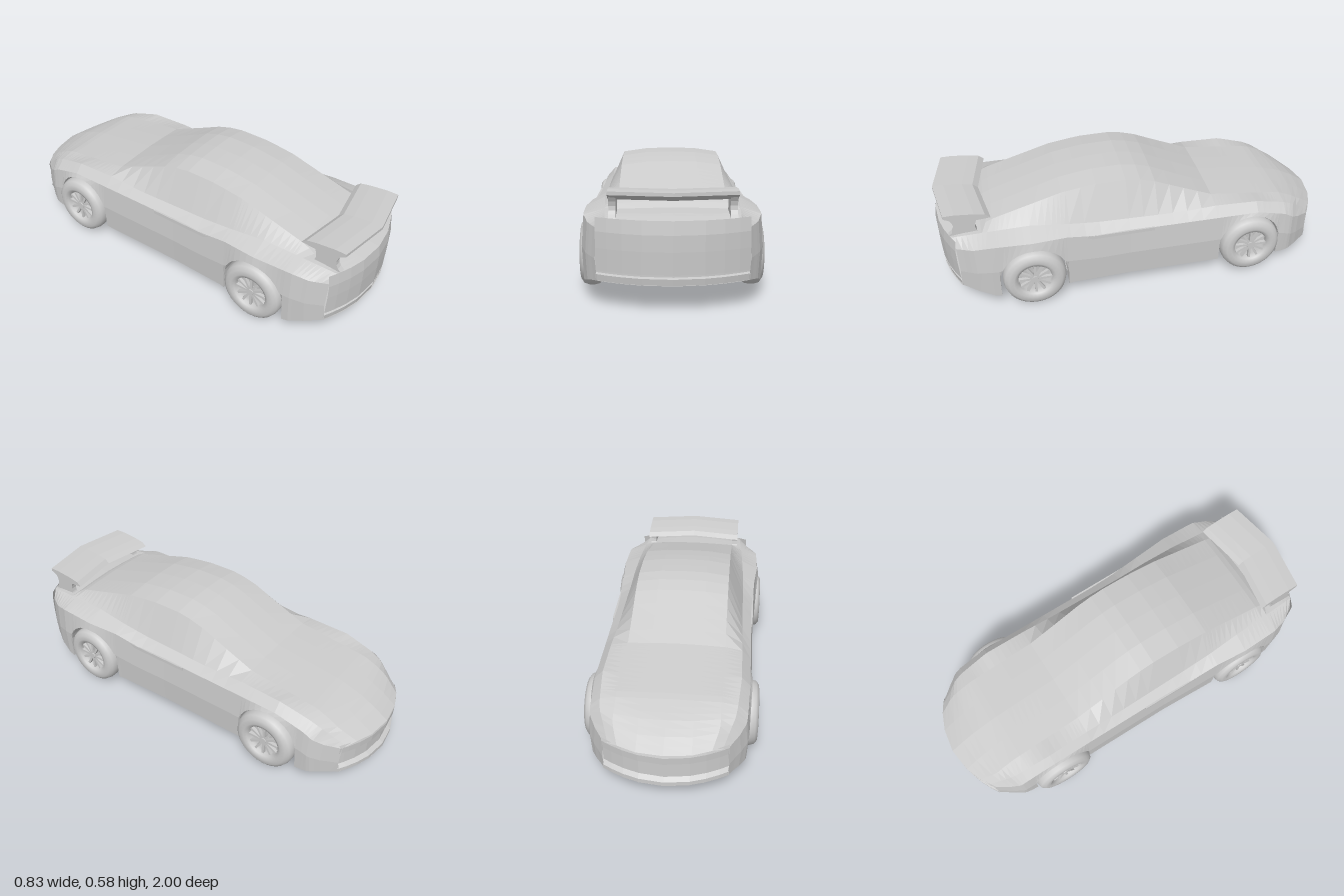
import * as THREE from 'three';

const shellMat = new THREE.MeshStandardMaterial({ color: 0xcccccc, flatShading: true, side: THREE.DoubleSide });
const smoothMat = new THREE.MeshStandardMaterial({ color: 0xcccccc, side: THREE.DoubleSide });

function part(parent, name, geometry, material = shellMat) {
  const mesh = new THREE.Mesh(geometry, material);
  mesh.name = name;
  parent.add(mesh);
  return mesh;
}

// Skin joining rows of [x, y, z] points
function skin(rows) {
  const n = rows[0].length, index = [];
  for (let i = 0; i < rows.length - 1; i++) {
    for (let j = 0; j < n - 1; j++) {
      const a = i * n + j, c = a + n;
      index.push(a, a + 1, c, a + 1, c + 1, c);
    }
  }
  const g = new THREE.BufferGeometry();
  g.setAttribute('position', new THREE.Float32BufferAttribute(rows.flat(2), 3));
  g.setIndex(index);
  g.computeVertexNormals();
  return g;
}

// Curve through [z, value] points, joined by straight lines
function along(points) {
  return z => {
    let i = 0;
    while (i < points.length - 2 && z > points[i + 1][0]) i++;
    const [a, b] = [points[i], points[i + 1]];
    return THREE.MathUtils.lerp(a[1], b[1], (z - a[0]) / (b[0] - a[0]));
  };
}

// Lines of the body along its length
const halfWidth = along([[-1, .28], [-.93, .33], [-.85, .36], [-.6, .37], [.07, .372], [.38, .385], [.55, .4], [.74, .395], [.9, .37], [.99, .325]]);
const shoulderY = along([[-1, .23], [-.85, .28], [-.6, .345], [.23, .345], [.38, .365], [.74, .37], [.99, .34]]);
const beltX = along([[-1, .25], [-.85, .3], [-.6, .32], [.38, .31], [.99, .28]]);
const beltY = along([[-1, .24], [-.85, .325], [-.6, .387], [-.38, .392], [-.2, .38], [.23, .385], [.55, .41], [.99, .385]]);
const roofY = along([[-1, .25], [-.93, .295], [-.85, .335], [-.74, .37], [-.38, .415], [-.2, .493], [-.05, .562],
  [.07, .58], [.23, .575], [.38, .55], [.74, .435], [.78, .405], [.9, .4], [.99, .385]]);
const sillX = z => halfWidth(z) - .008;

// Rounds the nose and tail in plan
function bow(x, z) {
  const t = Math.max(0, (Math.abs(z) - .75) / .25);
  return z - Math.sign(z) * t * x * x * (z < 0 ? 1.2 : .9);
}

// Straight run of [z, y] points
function run(z0, y0, z1, y1, steps) {
  return Array.from({ length: steps + 1 }, (_, i) => [z0 + (z1 - z0) * i / steps, y0 + (y1 - y0) * i / steps]);
}

// Semicircular wheel arch ending in two short legs
function archLine(cz, cy, r, before, after) {
  const line = [[cz - r, before]];
  for (let i = 0; i <= 14; i++) {
    const a = Math.PI * i / 14;
    line.push([cz - r * Math.cos(a), cy + r * Math.sin(a)]);
  }
  line.push([cz + r, after]);
  return line;
}

// Cross-section from the left sill over the roof to the right sill
function bodyRow([z, bottom]) {
  const w = halfWidth(z), top = roofY(z);
  const sideY = Math.max(shoulderY(z) * .62, bottom + .005);
  const half = [
    [sillX(z), bottom],
    [w, sideY],
    [w - .01, Math.max(shoulderY(z), sideY + .005)],
    [beltX(z), beltY(z)],
    [Math.min(.235, beltX(z) - .045), top - .07 * Math.max(0, top - .3)],
    [.12, top - .003],
  ];
  const all = [...half, [0, top], ...half.slice().reverse().map(([x, y]) => [-x, y])];
  return all.map(([x, y]) => [x, y, bow(x, z)]);
}

const SPREAD = [1, .85, .65, .4, 0, -.4, -.65, -.85, -1];

// Bumper face: rows of [y, z offset] swept across the car
function bumperFace(z, width, rows) {
  return skin(rows.map(([y, dz]) => SPREAD.map(f => {
    const x = -f * width * Math.sign(z);
    return [x, y, bow(x, z) + dz];
  })));
}

// Surface spanning the car below a [z, y] line
function crossPan(line) {
  return skin(line.map(([z, y]) => SPREAD.map(f => {
    const x = f * sillX(z);
    return [x, y, bow(x, z)];
  })));
}

// Wheel with its axis along x, outer face toward +x
function makeWheel(name) {
  const wheel = new THREE.Group();
  wheel.name = name;
  const profile = [[0, -.05], [.1, -.05], [.135, -.045], [.15, -.03], [.155, -.01], [.155, .015], [.148, .038],
    [.13, .051], [.105, .053], [.088, .046], [.082, .03], [.08, .012], [0, .012]];
  const tyre = part(wheel, 'tyre', new THREE.LatheGeometry(profile.map(p => new THREE.Vector2(...p)), 32), smoothMat);
  tyre.rotation.z = -Math.PI / 2;
  const hub = part(wheel, 'hub', new THREE.CylinderGeometry(.016, .02, .03, 12));
  hub.rotation.z = -Math.PI / 2;
  hub.position.x = .025;
  for (let i = 0; i < 12; i++) {
    const a = i * Math.PI / 6;
    const spoke = part(wheel, 'spoke', new THREE.BoxGeometry(.016, .07, .012));
    spoke.position.set(.028, Math.cos(a) * .048, Math.sin(a) * .048);
    spoke.rotation.x = a;
  }
  return wheel;
}

export function createModel() {
  const car = new THREE.Group();
  car.name = 'car';

  // Body shell, with the lower edge following the wheel arches
  const frontArch = archLine(-.56, .165, .16, .065, .08);
  const rearArch = archLine(.55, .155, .168, .075, .07);
  const noseLine = run(-1, .08, -.72, .065, 8);
  const sillLine = run(-.38, .08, .36, .08, 10);
  const tailLine = run(.718, .07, .99, .118, 8);
  const edge = [...noseLine, ...frontArch, ...sillLine, ...rearArch, ...tailLine];
  part(car, 'bodyShell', skin(edge.map(bodyRow)));

  // Bumper faces with recessed grooves
  part(car, 'frontBumper', bumperFace(-1, .28,
    [[.08, 0], [.1, 0], [.115, .02], [.19, .02], [.2, .002], [.235, 0], [.25, .005]]));
  part(car, 'rearBumper', bumperFace(.99, .322,
    [[.118, -.005], [.146, 0], [.149, -.02], [.16, -.02], [.163, .002], [.26, .007], [.33, .008], [.388, 0]]));

  // Undersides of nose and tail, and arch tunnels running across the car
  part(car, 'noseFloor', crossPan(noseLine));
  part(car, 'tailFloor', crossPan(tailLine));
  part(car, 'frontArchTunnel', crossPan(frontArch));
  part(car, 'rearArchTunnel', crossPan(rearArch));
  const flap = part(car, 'rearWheelDeflector', new THREE.BoxGeometry(.62, .07, .012));
  flap.position.set(0, .075, .372);
  flap.rotation.x = .2;

  // Rear wing: blade with a chevron plan
  const blade = [[.725, .465], [.75, .485], [.8, .494], [.89, .502], [.945, .501], [.945, .486], [.89, .46], [.81, .457], [.725, .465]];
  const wingX = [.268, .13, 0, -.13, -.268];
  part(car, 'wingBlade', skin(blade.map(([z, y]) => wingX.map(x => [x, y, z + .045 * (1 - Math.abs(x) / .268)]))));
  const tipShape = new THREE.Shape(blade.map(p => new THREE.Vector2(...p)));
  const finShape = new THREE.Shape();
  finShape.moveTo(.79, .385);
  finShape.lineTo(.93, .385);
  finShape.quadraticCurveTo(.88, .42, .92, .475);
  finShape.lineTo(.78, .475);
  finShape.quadraticCurveTo(.82, .43, .79, .385);

  for (const side of [1, -1]) {
    // Wing tips and curved supports
    const tip = part(car, 'wingTip', new THREE.ShapeGeometry(tipShape));
    tip.rotation.y = -Math.PI / 2;
    tip.position.x = side * .268;
    const support = part(car, 'wingSupport',
      new THREE.ExtrudeGeometry(finShape, { depth: .03, bevelEnabled: false, curveSegments: 5 }));
    support.rotation.y = -Math.PI / 2;
    support.position.x = side * .25 + .015;

    // Raised door crease
    const crease = part(car, 'doorCrease', new THREE.BoxGeometry(.012, .018, .4));
    crease.position.set(side * .364, .338, .145);
    crease.rotation.y = side * .012;

    // Wheels
    for (const [name, x, y, z] of [['frontWheel', .352, .165, -.56], ['rearWheel', .361, .155, .55]]) {
      const wheel = makeWheel(name);
      wheel.position.set(side * x, y, z);
      if (side < 0) wheel.rotation.y = Math.PI;
      car.add(wheel);
    }
  }
  return car;
}
